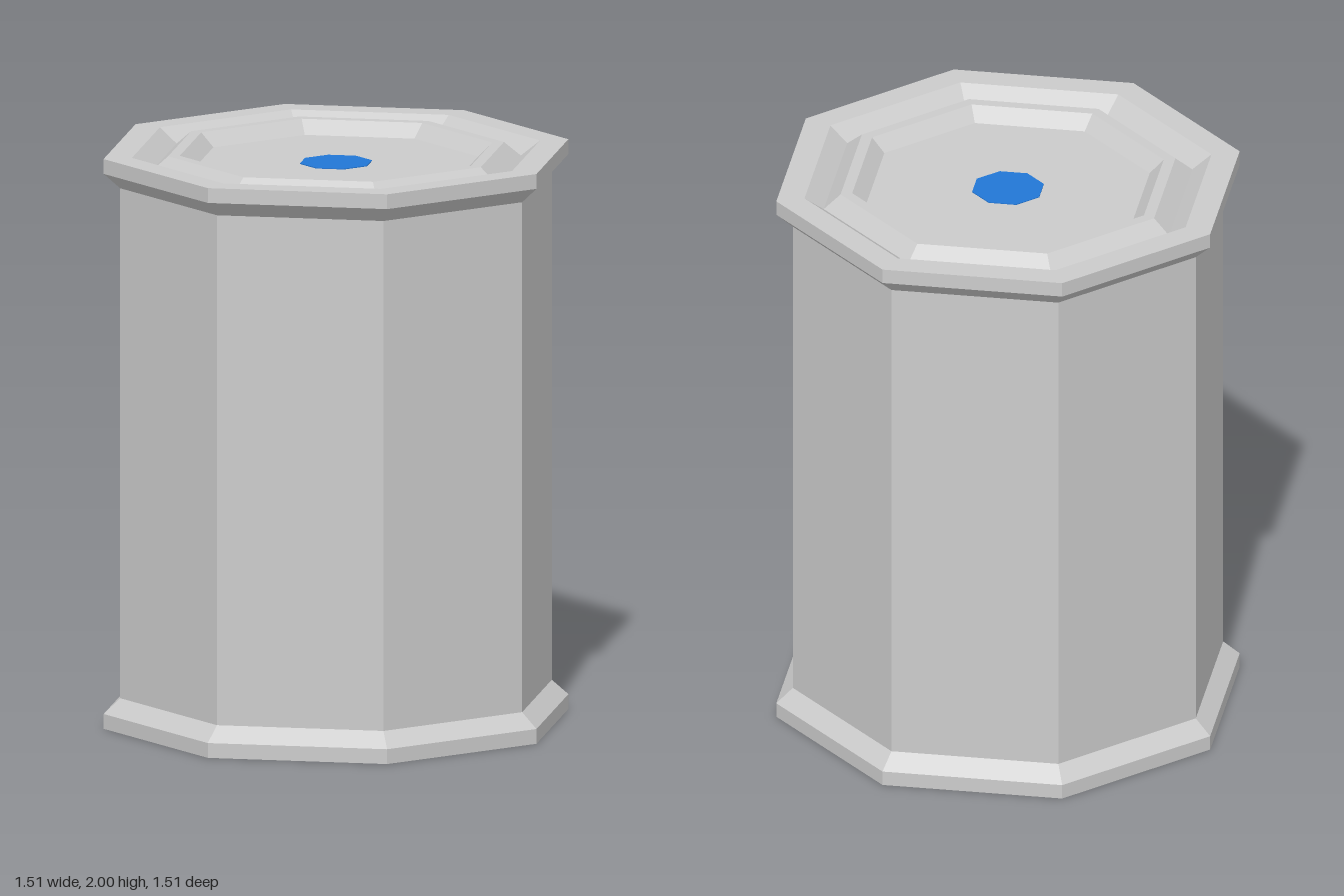
import * as THREE from 'three';

const SIDES = 8;
const grey = new THREE.MeshStandardMaterial({ color: 0xcccccc, flatShading: true });
const blue = new THREE.MeshStandardMaterial({ color: 0x2277d6, flatShading: true });

// Octagonal turning; profile is [apothem, height], running bottom to top on the outside
function octagon(name, profile, material = grey) {
  const k = 1 / Math.cos(Math.PI / SIDES);
  const points = profile.map(([a, y]) => new THREE.Vector2(a * k, y));
  const mesh = new THREE.Mesh(new THREE.LatheGeometry(points, SIDES, Math.PI / SIDES), material);
  mesh.name = name;
  return mesh;
}

export function createModel() {
  const model = new THREE.Group();
  model.name = 'canister';

  // Straight eight-sided wall
  model.add(octagon('body', [[0.703, 0.105], [0.703, 1.895]]));

  // Foot rim with recessed underside
  model.add(octagon('bottomRim', [
    [0, 0.07], [0.6, 0.07], [0.665, 0], [0.757, 0], [0.757, 0.052], [0.703, 0.105],
  ]));

  // Top rim, groove, raised ridge and sunken lid panel
  model.add(octagon('lid', [
    [0.703, 1.895], [0.757, 1.948], [0.757, 2], [0.665, 2], [0.602, 1.95],
    [0.547, 2], [0.509, 2], [0.463, 1.953], [0, 1.953],
  ]));

  // Coloured spot in the centre of the lid
  model.add(octagon('lidSpot', [[0.117, 1.953], [0.117, 1.956], [0, 1.956]], blue));

  return model;
}
